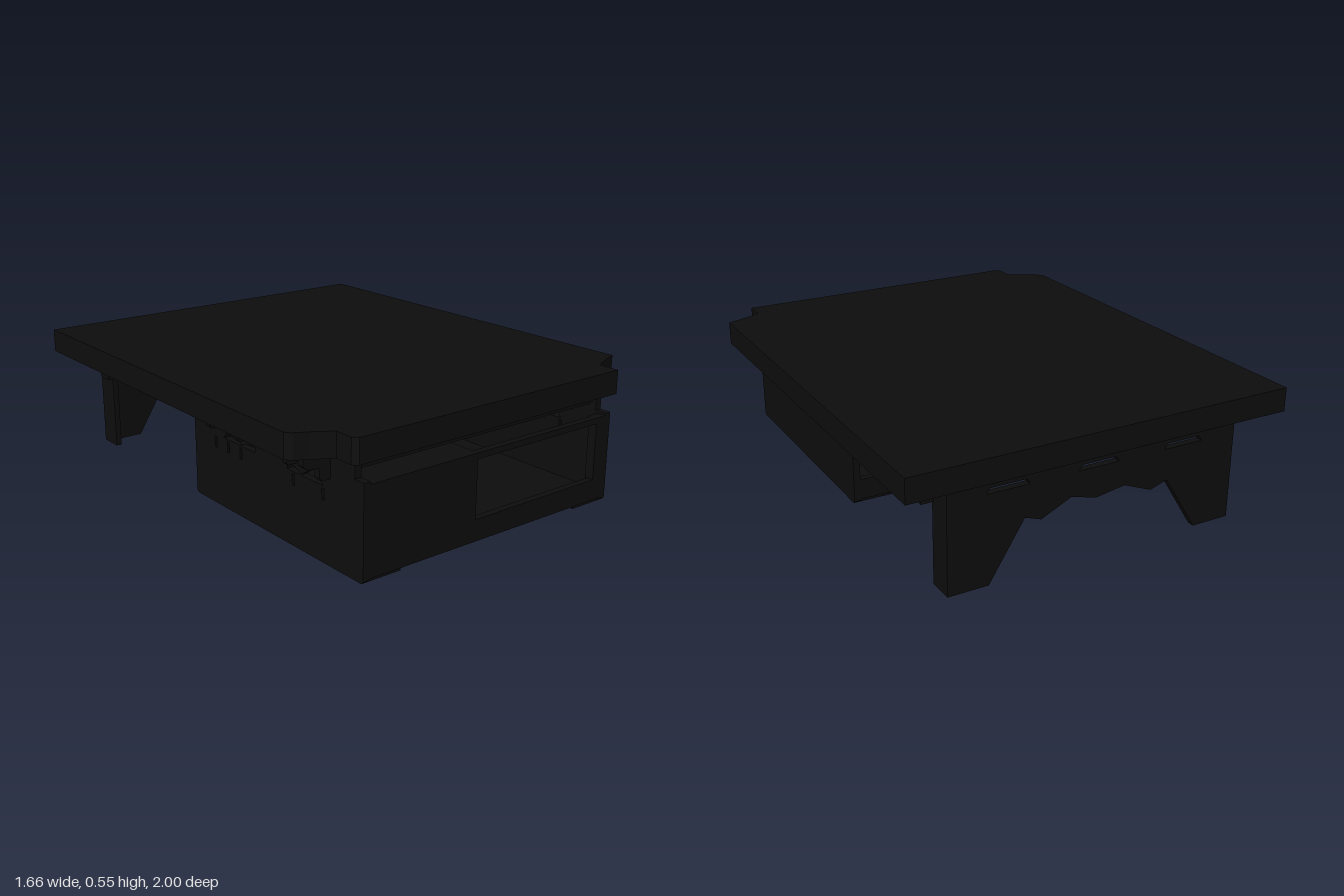
import * as THREE from 'three';

export function createModel() {
  const model = new THREE.Group();
  const black = new THREE.MeshStandardMaterial({ color: 0x0d0d0d });
  black.name = 'black';

  const add = (name, geometry) => {
    const mesh = new THREE.Mesh(geometry, black);
    mesh.name = name;
    model.add(mesh);
    return mesh;
  };
  // Box given by its limits on each axis
  const block = (name, x0, x1, y0, y1, z0, z1) =>
    add(name, new THREE.BoxGeometry(x1 - x0, y1 - y0, z1 - z0)
      .translate((x0 + x1) / 2, (y0 + y1) / 2, (z0 + z1) / 2));
  const path = (points) => points.map(([a, b]) => new THREE.Vector2(a, b));
  const plate = (points, holes, depth) => {
    const shape = new THREE.Shape(path(points));
    holes.forEach((h) => shape.holes.push(new THREE.Path(path(h))));
    return new THREE.ExtrudeGeometry(shape, { depth, bevelEnabled: false });
  };
  const rect = (a0, a1, b0, b1) => [[a0, b0], [a1, b0], [a1, b1], [a0, b1]];

  // Table top with cut front corners
  add('tableTop', plate([
    [-0.83, -1], [0.83, -1], [0.83, 0.84], [0.77, 0.86], [0.70, 0.89], [0.67, 0.91],
    [0.67, 1], [-0.66, 1], [-0.68, 0.98], [-0.68, 0.90], [-0.76, 0.85], [-0.81, 0.825], [-0.83, 0.80],
  ], [], 0.1).rotateX(Math.PI / 2).translate(0, 0.55, 0));

  // Back legs and ragged apron cut from one panel
  add('backPanel', plate([
    [0.64, 0], [0.64, 0.45], [-0.64, 0.45], [-0.64, 0], [-0.47, 0], [-0.32, 0.24], [-0.245, 0.215],
    [-0.12, 0.265], [0.01, 0.245], [0.12, 0.275], [0.25, 0.215], [0.32, 0.24], [0.47, 0],
  ], [-0.39, 0, 0.39].map((x) =>
    [[x - 0.09, 0.373], [x + 0.09, 0.373], [x + 0.075, 0.395], [x - 0.075, 0.395]]), 0.03)
    .translate(0, 0, -0.93));

  // Side walls with jagged windows, slots and a central cut
  const wall = [
    [-0.1, 0.01], [-0.09, 0], [0.99, 0], [1, 0.01], [1, 0.38], [0.95, 0.38], [0.95, 0.45],
    [0.475, 0.45], [0.46, 0.41], [0.475, 0.335], [0.455, 0.335], [0.445, 0.37], [0.435, 0.335],
    [0.415, 0.335], [0.43, 0.41], [0.415, 0.45], [-0.07, 0.45], [-0.07, 0.38], [-0.1, 0.38],
  ];
  const windows = [
    [[0.77, 0.30], [0.72, 0.36], [0.645, 0.305], [0.56, 0.335], [0.55, 0.30]],
    [[0.12, 0.30], [0.17, 0.36], [0.245, 0.305], [0.34, 0.33], [0.34, 0.30]],
    ...[0.77, 0.59, 0.24, 0.15, 0.06].map((z) => rect(z - 0.007, z + 0.007, 0.245, 0.29)),
  ];
  for (const s of [-1, 1]) {
    add('sideWall', plate(wall, windows, 0.03).rotateY(-Math.PI / 2)
      .translate(s > 0 ? 0.64 : -0.61, 0, 0));
    const sx = (name, a, b, ...rest) => block(name, Math.min(s * a, s * b), Math.max(s * a, s * b), ...rest);
    sx('legFlange', 0.615, 0.64, 0, 0.45, -0.91, -0.82);
    sx('legBracket', 0.60, 0.69, 0.34, 0.40, -0.83, -0.765);
    sx('sideRail', 0.58, 0.63, 0.39, 0.45, -0.82, -0.07);
    sx('foot', 0.46, 0.62, 0, 0.02, 0.88, 0.99);
    sx('foot', 0.46, 0.62, 0, 0.02, -0.09, 0.02);

    // Stepped brackets carrying the overhang
    for (const z of [0.08, 0.28, 0.60, 0.80, -0.80]) {
      const bracket = plate([
        [0.63, 0.34], [0.68, 0.34], [0.69, 0.355], [0.69, 0.39], [0.74, 0.395], [0.76, 0.41],
        [0.76, 0.45], [0.63, 0.45],
      ], [], 0.03).translate(0, 0, z - 0.015);
      if (s < 0) bracket.rotateY(Math.PI).translate(0, 0, 2 * z);
      add('bracket', bracket);
    }
  }

  // Cabinet floor, low back, front frame
  block('cabinetFloor', -0.61, 0.61, 0.015, 0.045, -0.1, 1);
  block('cabinetBack', -0.1, 0.61, 0.03, 0.105, -0.1, -0.07);
  block('frontSill', -0.1, 0.61, 0.03, 0.105, 0.97, 1);
  block('frontPost', 0.56, 0.61, 0.1, 0.37, 0.96, 1);
  block('frontHeader', -0.1, 0.61, 0.345, 0.37, 0.97, 1);

  // Closed storage compartment beside the opening
  block('compartmentFront', -0.61, -0.1, 0.03, 0.37, 0.97, 1);
  block('compartmentSide', -0.13, -0.1, 0.03, 0.37, -0.1, 0.98);
  block('compartmentBack', -0.61, -0.1, 0.03, 0.37, -0.1, -0.07);
  block('compartmentLid', -0.61, -0.1, 0.345, 0.37, -0.08, 0.98);
  block('drawerLedge', -0.58, -0.28, 0.28, 0.295, 0.99, 1);

  // Frame beams below the top
  for (const z of [-0.8, -0.09, 0.42, 0.9]) block('crossBeam', -0.61, 0.61, 0.40, 0.45, z - 0.02, z + 0.02);

  // Wavy ribs under the open half
  for (let i = 0; i < 6; i++) {
    const x = -0.45 + i * 0.18;
    const curve = new THREE.CatmullRomCurve3([0, 1, 2, 3, 4].map((k) =>
      new THREE.Vector3(x + (k % 2 ? 0.025 : -0.025), 0.447, -0.68 + k * 0.12)));
    add('underRib', new THREE.TubeGeometry(curve, 16, 0.012, 6));
  }
  return model;
}
